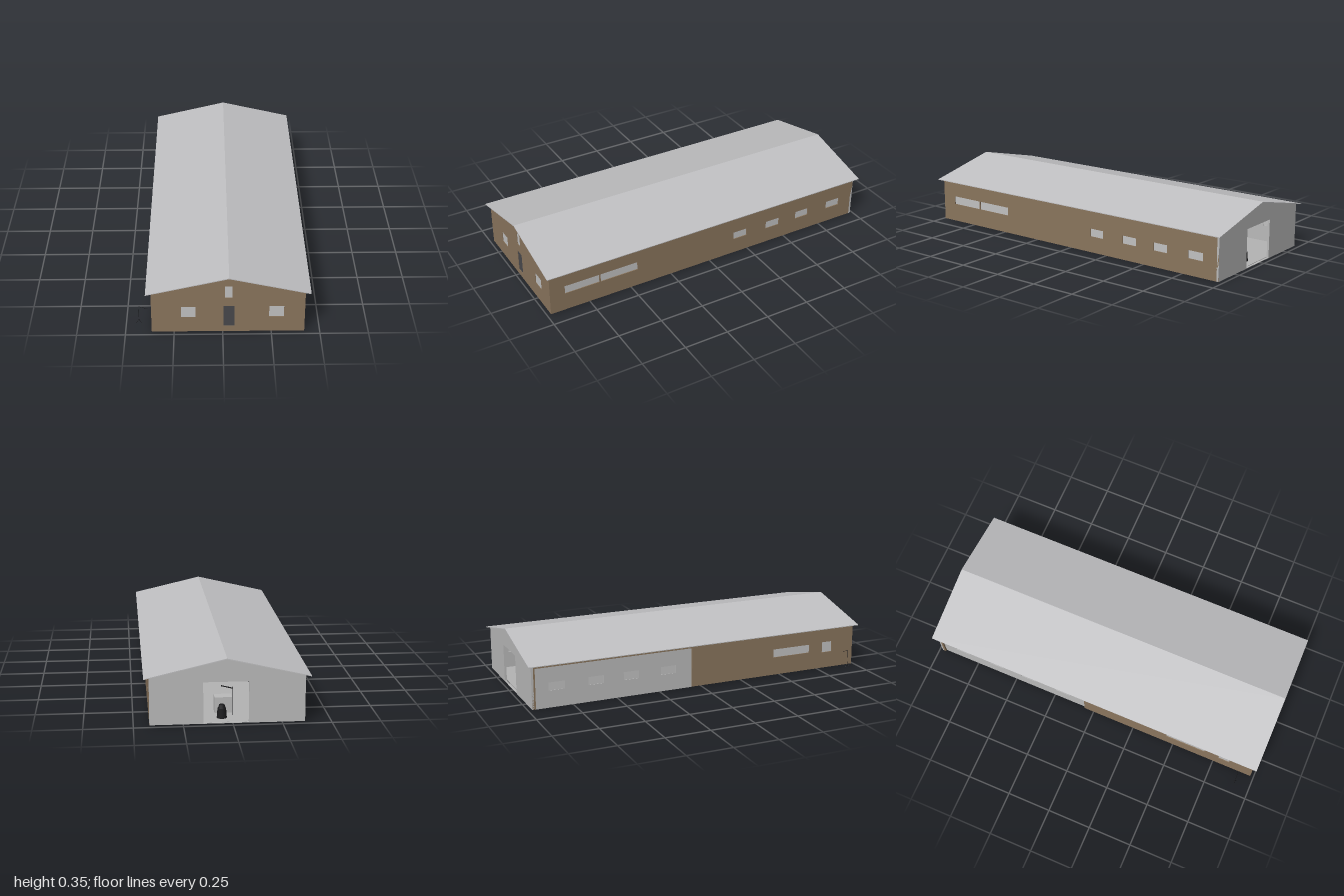
import * as THREE from 'three';

const mat = (name, color) => {
  const m = new THREE.MeshStandardMaterial({ color });
  m.name = name;
  return m;
};

export function createModel() {
  const brown = mat('brown cladding', 0x8a755d);
  const grey = mat('grey panel', 0xbababa);
  const roofGrey = mat('roof sheet', 0xc0c0c2);
  const glass = mat('window pane', 0xc2c2c2);
  const floorGrey = mat('floor slab', 0xb4b4b4);
  const doorGrey = mat('door', 0x48484c);
  const black = mat('black metal', 0x1c1c1e);

  const model = new THREE.Group();
  model.name = 'longHall';
  const add = (name, geo, material, parent = model) => {
    const m = new THREE.Mesh(geo, material);
    m.name = name;
    parent.add(m);
    return m;
  };
  // Box given by its minimum and maximum corners
  const box = (name, material, a, b, parent) => add(name,
    new THREE.BoxGeometry(b[0] - a[0], b[1] - a[1], b[2] - a[2])
      .translate((a[0] + b[0]) / 2, (a[1] + b[1]) / 2, (a[2] + b[2]) / 2), material, parent);
  // Flat panel with rectangular openings [u0, u1, v0, v1]
  const panel = (outline, holes, depth) => {
    const s = new THREE.Shape(outline.map(p => new THREE.Vector2(...p)));
    for (const [u0, u1, v0, v1] of holes) {
      s.holes.push(new THREE.Path([[u0, v0], [u0, v1], [u1, v1], [u1, v0]].map(p => new THREE.Vector2(...p))));
    }
    return new THREE.ExtrudeGeometry(s, { depth, bevelEnabled: false });
  };
  const rod = (name, a, b, r, parent) => {
    const curve = new THREE.LineCurve3(new THREE.Vector3(...a), new THREE.Vector3(...b));
    return add(name, new THREE.TubeGeometry(curve, 1, r, 6), black, parent);
  };
  // Side panel: u runs along z, thickness goes from x towards x - depth
  const sidePanel = (name, material, outline, holes, x, depth) =>
    add(name, panel(outline, holes, depth).rotateY(-Math.PI / 2).translate(x, 0, 0), material);

  const L = -0.365, R = 0.42, END = 0.98, T = 0.012, BASE = 0.005;
  const EAVE = 0.249, RIDGE = [0.032, 0.341], SPLIT = -0.057;

  // Gable ends
  const gable = [[L, BASE], [R, BASE], [R, EAVE], RIDGE, [L, EAVE]];
  const frontWindows = [[-0.213, -0.138, 0.095, 0.16], [0.237, 0.313, 0.095, 0.16], [0.012, 0.05, 0.213, 0.285]];
  const frontDoor = [0.003, 0.06, 0.037, 0.163];
  add('frontWall', panel(gable, [...frontWindows, frontDoor], T).translate(0, 0, END - T), brown);
  for (const [a, b, c, d] of frontWindows) box('frontWindow', glass, [a, c, END - 0.009], [b, d, END - 0.003]);
  box('frontDoor', doorGrey, [0.003, 0.037, END - 0.009], [0.06, 0.163, END - 0.003]);
  add('backWall', panel(gable, [[-0.08, 0.15, 0.008, 0.222]], T).translate(0, 0, -END - 0.001), grey);

  // Long side walls
  const smallWindows = [[-0.24, -0.152], [-0.46, -0.37], [-0.662, -0.575], [-0.885, -0.793]]
    .map(([a, b]) => [a, b, 0.095, 0.14]);
  const longWindows = [[0.69, 0.893, 0.108, 0.156], [0.46, 0.683, 0.108, 0.156]];
  const leftWindows = [...longWindows, ...smallWindows];
  const rightWindows = [[0.455, 0.69, 0.108, 0.156], [0.775, 0.84, 0.098, 0.16]];
  sidePanel('leftWall', brown, [[-END, BASE], [END, BASE], [END, EAVE], [-END, EAVE]], leftWindows, R, T);
  // The right wall is cut away along the rear, showing the grey lining
  sidePanel('rightWall', brown,
    [[SPLIT, BASE], [END, BASE], [END, EAVE], [-END, EAVE], [-END, BASE], [-0.96, BASE], [-0.96, 0.228], [SPLIT, 0.228]],
    rightWindows, L + T, T);
  const lining = [[-0.962, 0.002], [SPLIT, 0.002], [SPLIT, 0.245], [-0.962, 0.245]];
  sidePanel('rightLining', grey, lining, smallWindows, -0.345, 0.01);
  sidePanel('leftLining', grey, lining, smallWindows, 0.405, 0.008);
  for (const [a, b, c, d] of leftWindows) box('leftWindow', glass, [R - 0.011, c, a], [R - 0.005, d, b]);
  for (const [a, b, c, d] of rightWindows) box('rightWindow', glass, [L + 0.005, c, a], [L + 0.011, d, b]);
  for (const [a, b, c, d] of smallWindows) box('rightRearWindow', glass, [-0.352, c, a], [-0.347, d, b]);

  // Roof: one thin folded sheet
  add('roof', panel([[-0.392, 0.244], [0.032, 0.342], [0.447, 0.247], [0.447, 0.251], [0.032, 0.347], [-0.392, 0.248]],
    [], 2).translate(0, 0, -1), roofGrey);

  // Floors: rear hall on the ground, front rooms raised
  box('rearFloor', floorGrey, [-0.355, 0, -0.962], [0.395, 0.006, SPLIT]);
  box('middleFloor', floorGrey, [-0.35, 0.018, SPLIT], [0.405, 0.028, 0.44]);
  box('frontFloor', floorGrey, [-0.35, 0.025, 0.443], [0.405, 0.035, 0.965]);

  // Partition between hall and rooms
  add('partition', panel([[-0.345, 0.006], [0.397, 0.006], [0.397, 0.245], RIDGE, [-0.345, 0.245]], [], 0.01)
    .translate(0, 0, SPLIT - 0.01), grey);

  // Raised overhead door with its rails
  box('overheadDoor', grey, [-0.07, 0.217, -0.962], [0.14, 0.223, -0.76]);
  for (const x of [-0.08, 0.15]) rod('doorRail', [x, 0.213, -0.96], [x, 0.213, -0.72], 0.002);

  // Workbench and machine inside the hall
  const machine = new THREE.Group();
  machine.name = 'machine';
  model.add(machine);
  box('cabinet', grey, [-0.01, 0.006, -0.82], [0.08, 0.09, -0.76], machine);
  add('machineBody', new THREE.CylinderGeometry(0.022, 0.026, 0.05, 12).translate(0.05, 0.034, -0.9), black, machine);
  add('machineHead', new THREE.CylinderGeometry(0.014, 0.02, 0.02, 12).translate(0.05, 0.068, -0.9), black, machine);
  rod('post', [-0.01, 0.006, -0.86], [-0.01, 0.16, -0.86], 0.002, machine);
  rod('postArm', [-0.01, 0.15, -0.86], [0.05, 0.165, -0.86], 0.003, machine);

  // Thin stand beside the front right corner
  const stand = new THREE.Group();
  stand.name = 'stand';
  model.add(stand);
  const x = -0.433, z = 0.91;
  rod('standPole', [x, 0.033, z], [x, 0.112, z], 0.001, stand);
  rod('standArm', [x, 0.112, z], [-0.388, 0.095, z - 0.005], 0.001, stand);
  for (let i = 0; i < 3; i++) {
    const a = i * Math.PI * 2 / 3 + Math.PI / 6;
    rod('standLeg', [x, 0.033, z], [x + 0.016 * Math.cos(a), 0.014, z + 0.016 * Math.sin(a)], 0.001, stand);
  }
  return model;
}
